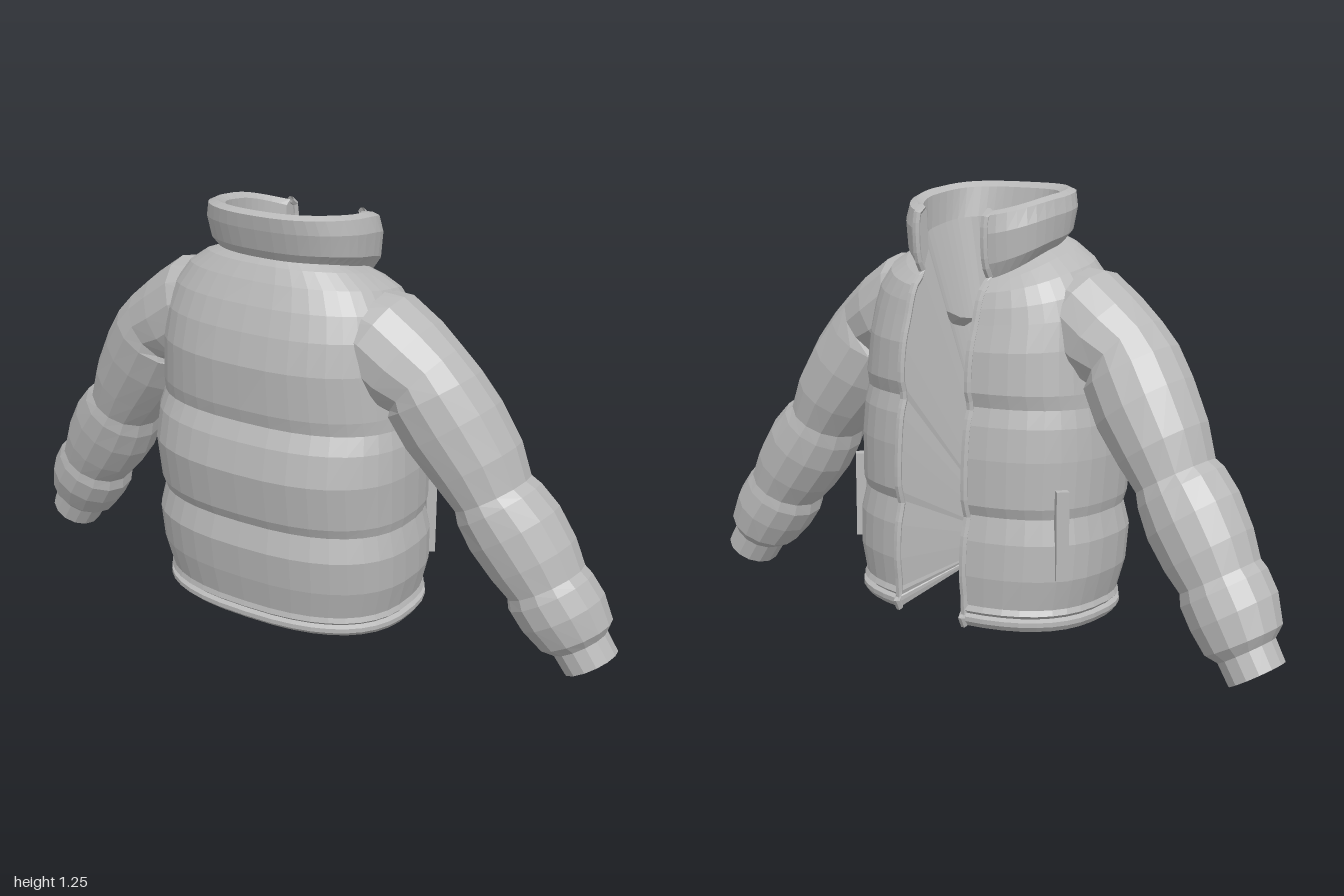
import * as THREE from 'three';

const fabric = new THREE.MeshStandardMaterial({ color: 0xb8b8b8, flatShading: true, side: THREE.DoubleSide });
fabric.name = 'grey fabric';

// Torso rings: [y, half width, back z, front z, drop of the front edge]
const TORSO = [
  [0.055, 0.385, 0.245, -0.285, 0], [0.07, 0.395, 0.262, -0.296, 0], [0.083, 0.395, 0.262, -0.296, 0],
  [0.09, 0.382, 0.25, -0.283, 0], [0.1, 0.392, 0.262, -0.294, 0], [0.115, 0.386, 0.258, -0.286, 0],
  [0.2, 0.408, 0.276, -0.292, 0], [0.3, 0.412, 0.288, -0.286, 0], [0.37, 0.397, 0.27, -0.27, 0],
  [0.4, 0.404, 0.284, -0.282, 0], [0.53, 0.409, 0.304, -0.281, 0], [0.62, 0.403, 0.285, -0.27, 0],
  [0.67, 0.392, 0.26, -0.255, 0], [0.71, 0.391, 0.27, -0.267, 0], [0.84, 0.38, 0.276, -0.258, 0.02],
  [0.93, 0.37, 0.256, -0.236, 0.04], [1.0, 0.35, 0.23, -0.225, 0.07], [1.06, 0.31, 0.2, -0.21, 0.09],
  [1.1, 0.255, 0.175, -0.19, 0.11], [1.115, 0.215, 0.16, -0.183, 0.12],
];
// Collar rings: up the outside, over the rim, down the inside
const COLLAR = [
  [1.115, 0.215, 0.16, -0.183, 0.12], [1.14, 0.238, 0.175, -0.198, 0.1], [1.2, 0.244, 0.193, -0.205, 0.075],
  [1.24, 0.232, 0.2, -0.2, 0.065], [1.25, 0.212, 0.18, -0.183, 0.065], [1.235, 0.192, 0.152, -0.167, 0.065],
  [1.15, 0.19, 0.13, -0.16, 0.09],
];
// Sleeve stations: [x, y, z, radius across, radius in z]
const SLEEVE = [
  [0.18, 0.95, 0.03, 0.13, 0.13], [0.3, 0.9, 0.025, 0.15, 0.155], [0.38, 0.845, 0.02, 0.148, 0.155],
  [0.445, 0.81, 0.02, 0.13, 0.142], [0.465, 0.775, 0.015, 0.142, 0.15], [0.52, 0.69, 0.0, 0.146, 0.152],
  [0.59, 0.59, -0.015, 0.132, 0.144], [0.636, 0.51, -0.022, 0.111, 0.13], [0.655, 0.48, -0.025, 0.126, 0.138],
  [0.7, 0.415, -0.035, 0.137, 0.142], [0.755, 0.335, -0.045, 0.13, 0.136], [0.795, 0.272, -0.052, 0.114, 0.124],
  [0.808, 0.245, -0.054, 0.125, 0.13], [0.845, 0.19, -0.062, 0.125, 0.13], [0.882, 0.125, -0.075, 0.11, 0.112],
  [0.895, 0.1, -0.08, 0.082, 0.086], [0.93, 0.045, -0.085, 0.08, 0.084], [0.93, 0.045, -0.085, 0.065, 0.068],
  [0.905, 0.085, -0.082, 0.06, 0.063], [0.905, 0.085, -0.082, 0.001, 0.001],
];
const SEGMENTS = 36, SIDES = 14, OPENING = 0.12;

function mesh(name, geometry) {
  const m = new THREE.Mesh(geometry, fabric);
  m.name = name;
  return m;
}

function fromTriangles(points) {
  const g = new THREE.BufferGeometry().setFromPoints(points);
  g.computeVertexNormals();
  return g;
}

// Skin between rows of points
function loft(rows, flip) {
  const tris = [];
  for (let r = 0; r < rows.length - 1; r++) {
    for (let c = 0; c < rows[r].length - 1; c++) {
      const a = rows[r][c], b = rows[r][c + 1], a2 = rows[r + 1][c], b2 = rows[r + 1][c + 1];
      if (flip) tris.push(b, a2, a, b, b2, a2);
      else tris.push(b, a, a2, b, a2, b2);
    }
  }
  return fromTriangles(tris);
}

// Skin from a closed loop to one point
function fan(loop, centre) {
  const tris = [];
  loop.forEach((p, i) => tris.push(p, loop[(i + 1) % loop.length], centre));
  return fromTriangles(tris);
}

// Open ring running from the left front edge round the back to the right front edge
function bodyRing([y, hw, zb, zf, drop]) {
  const end = Math.PI - Math.asin(Math.pow(OPENING / hw, 1.25));
  const pts = [];
  for (let i = 0; i <= SEGMENTS; i++) {
    const phi = end * (1 - 2 * i / SEGMENTS);
    const s = Math.sin(phi), c = Math.cos(phi);
    const x = Math.sign(s) * hw * Math.pow(Math.abs(s), 0.8);
    const z = (zb + zf) / 2 + (zb - zf) / 2 * Math.sign(c) * Math.pow(Math.abs(c), 0.8);
    pts.push(new THREE.Vector3(x, y - drop * Math.pow((1 - c) / 2, 2), z));
  }
  return pts;
}

function sleeveRings(side) {
  let normal = new THREE.Vector2(0.7, 0.7);
  return SLEEVE.map(([x, y, z, r, rz], i) => {
    // Rings stand across the path; the cuff keeps one direction
    if (i > 0 && i < 16) {
      const p = SLEEVE[i - 1], n = SLEEVE[i + 1];
      normal = new THREE.Vector2(p[1] - n[1], n[0] - p[0]).normalize();
    }
    const pts = [];
    for (let k = 0; k <= SIDES; k++) {
      const a = k / SIDES * Math.PI * 2;
      const q = Math.cos(a) * r;
      pts.push(new THREE.Vector3(side * (x + normal.x * q), y + normal.y * q, z + Math.sin(a) * rz));
    }
    return pts;
  });
}

export function createModel() {
  const jacket = new THREE.Group();
  jacket.name = 'pufferJacket';

  // Quilted torso and collar
  const torso = TORSO.map(bodyRing);
  const collar = COLLAR.map(bodyRing);
  jacket.add(mesh('torso', loft(torso, false)), mesh('collar', loft(collar, false)));

  // Lining drawn from hem, front edges and collar to one point inside
  const rightEdge = torso.map(r => r[SEGMENTS]);
  const leftEdge = torso.map(r => r[0]);
  const neck = [...collar[collar.length - 1]].reverse();
  const loop = [...torso[0], ...rightEdge.slice(1), ...neck, ...leftEdge.slice(1).reverse()];
  jacket.add(mesh('lining', fan(loop, new THREE.Vector3(0, 0.2, 0.09))));

  for (const side of [1, -1]) {
    const label = side > 0 ? 'left' : 'right';
    const col = side > 0 ? 0 : SEGMENTS;

    // Sleeve with a hollow cuff
    jacket.add(mesh(label + 'Sleeve', loft(sleeveRings(side), side > 0)));

    // Closed front end of the collar
    const end = collar.map(r => r[col]);
    const middle = end.reduce((s, p) => s.add(p), new THREE.Vector3()).divideScalar(end.length);
    jacket.add(mesh(label + 'CollarEnd', fan(end, middle)));

    // Zip edge from hem to collar rim
    const edge = [...torso, ...collar.slice(1, 5)].map(r => r[col]);
    const path = new THREE.CatmullRomCurve3(edge);
    jacket.add(mesh(label + 'ZipEdge', new THREE.TubeGeometry(path, 44, 0.011, 6)));

    // Pocket welt
    const pocket = mesh(label + 'Pocket', new THREE.BoxGeometry(0.035, 0.25, 0.03));
    pocket.position.set(side * 0.368, 0.33, -0.166);
    pocket.rotation.y = Math.atan2(side * 0.75, -0.65);
    jacket.add(pocket);
  }
  return jacket;
}
